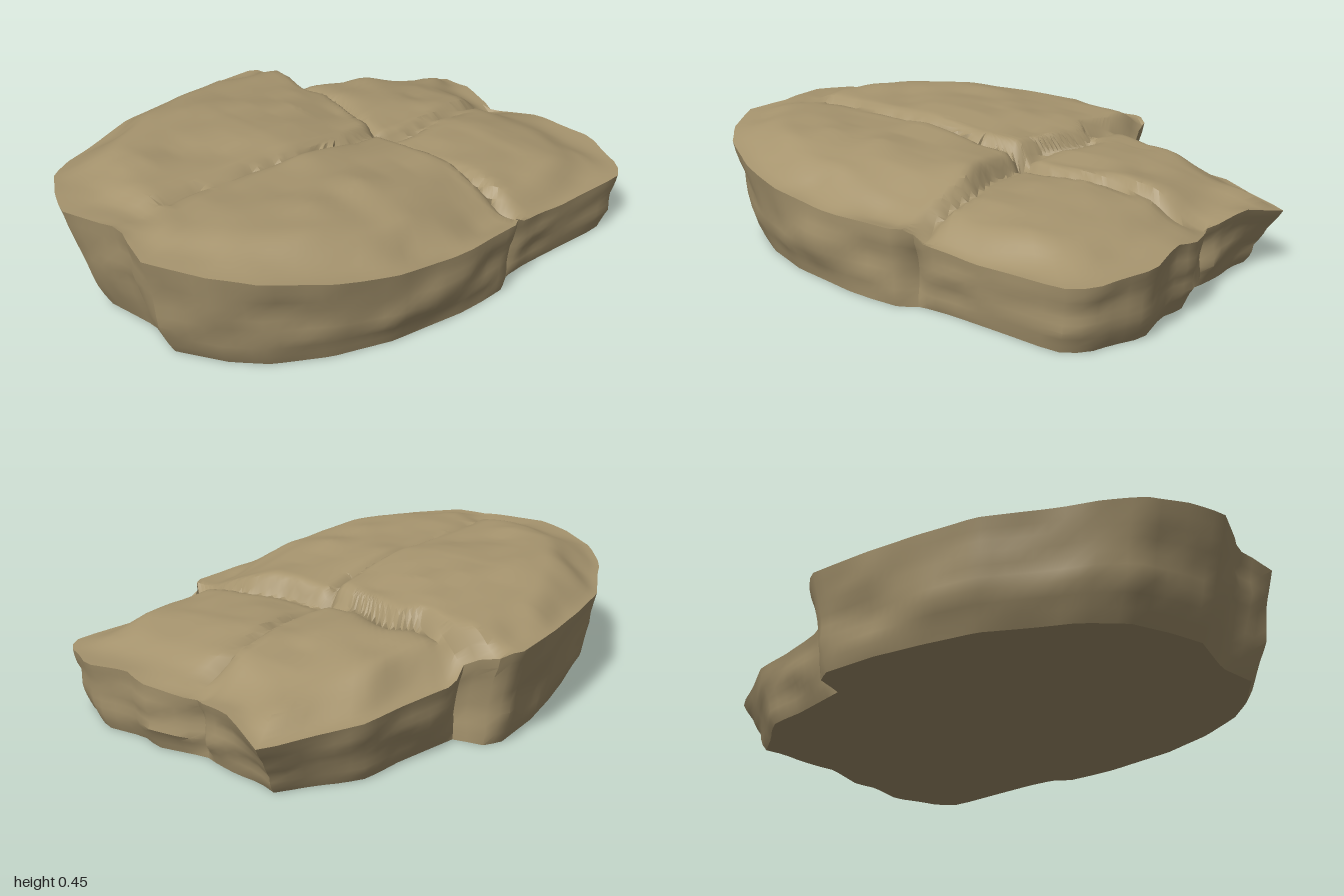
import * as THREE from 'three';
import { toCreasedNormals } from 'three/addons/utils/BufferGeometryUtils.js';

const { lerp, smoothstep } = THREE.MathUtils;

// Plan outline of the slab at its widest, as [x, z] in order around the rock
const OUTLINE = [
  [-1, 0.2], [-0.96, 0.03], [-1, -0.2], [-0.95, -0.33], [-0.87, -0.48], [-0.73, -0.58],
  [-0.6, -0.63], [-0.41, -0.71], [-0.2, -0.735], [0, -0.745], [0.23, -0.74], [0.3, -0.69],
  [0.3, -0.585], [0.56, -0.51], [0.71, -0.485], [0.85, -0.39], [1, -0.31], [0.95, -0.2],
  [0.9, -0.05], [0.87, 0.05], [0.91, 0.24], [0.88, 0.33], [0.9, 0.5], [0.84, 0.6],
  [0.8, 0.69], [0.72, 0.735], [0.5, 0.71], [0.3, 0.69], [0.18, 0.69], [0.12, 0.73],
  [-0.1, 0.725], [-0.4, 0.68], [-0.62, 0.6], [-0.8, 0.49], [-0.9, 0.38],
];
// Cracks: x as a function of z, and z as a function of x
const CROSS_CRACK = [[-0.75, 0.31], [-0.6, 0.3], [-0.45, 0.25], [-0.35, 0.22], [-0.28, 0.26],
  [-0.1, 0.2], [0.05, 0.17], [0.25, 0.17], [0.4, 0.2], [0.55, 0.19], [0.75, 0.17]];
const LONG_CRACK = [[-1, 0.03], [-0.7, -0.01], [-0.4, 0.02], [0, 0.06], [0.18, 0.05],
  [0.3, 0.08], [0.6, 0.07], [0.95, 0.05]];
// Height of the rim by angle in degrees (0 = +x, 90 = +z)
const RIM = [[-180, 0.41], [-160, 0.39], [-140, 0.34], [-110, 0.34], [-70, 0.34], [-63, 0.3],
  [-58, 0.23], [-35, 0.22], [-17, 0.2], [-8, 0.24], [4, 0.21], [20, 0.25], [40, 0.22],
  [60, 0.21], [74, 0.23], [78, 0.27], [105, 0.27], [130, 0.31], [155, 0.37], [180, 0.41]];

// Linear interpolation through sorted [key, value] pairs
function track(pairs, k) {
  if (k <= pairs[0][0]) return pairs[0][1];
  for (let i = 1; i < pairs.length; i++) {
    const [a, va] = pairs[i - 1], [b, vb] = pairs[i];
    if (k <= b) return lerp(va, vb, (k - a) / (b - a));
  }
  return pairs[pairs.length - 1][1];
}

// Seeded value noise in -1..1
function hash(x, y, z) {
  let h = (x * 374761393 + y * 668265263 + z * 1274126177) | 0;
  h = Math.imul(h ^ (h >>> 13), 1274126177);
  return ((h ^ (h >>> 16)) >>> 0) / 2147483648 - 1;
}
function noise(x, y, z) {
  const X = Math.floor(x), Y = Math.floor(y), Z = Math.floor(z);
  const u = x - X, v = y - Y, w = z - Z;
  const row = (j, k) => lerp(hash(X, Y + j, Z + k), hash(X + 1, Y + j, Z + k), u);
  return lerp(lerp(row(0, 0), row(1, 0), v), lerp(row(0, 1), row(1, 1), v), w);
}

// Distance from the centre to the outline along a direction
function outlineRadius(c, s) {
  let best = 0;
  OUTLINE.forEach(([ax, az], i) => {
    const [bx, bz] = OUTLINE[(i + 1) % OUTLINE.length];
    const ca = c * az - s * ax, cb = c * bz - s * bx;
    if (ca * cb > 0 || ca === cb) return;
    const t = ca / (ca - cb);
    best = Math.max(best, c * lerp(ax, bx, t) + s * lerp(az, bz, t));
  });
  return best;
}

const gauss = (d, w) => Math.exp(-(d * d) / (w * w));
const crossDist = (x, z) => x - track(CROSS_CRACK, z);
const longDist = (x, z) => z - track(LONG_CRACK, x);

// Height of the upper surface: high left blocks, low right blocks
function plateau(x, z) {
  const left = 0.428 - 0.035 * smoothstep(x, -0.3, 0.25)
    - 0.1 * smoothstep(z, 0.3, 0.72) * smoothstep(x, -0.8, 0.1) - 0.02 * smoothstep(-z, 0.4, 0.75);
  const right = 0.345 - 0.07 * smoothstep(x, 0.2, 0.9) - 0.03 * smoothstep(Math.abs(z), 0.3, 0.7);
  const step = longDist(x, z) > 0 ? -0.012 : 0.004;
  return lerp(left, right, smoothstep(crossDist(x, z), -0.03, 0.04)) + step
    + 0.016 * noise(x * 4 + 9, 3, z * 4) + 0.01 * noise(x * 9, 7, z * 9);
}

function cracks(x, z) {
  const fade = x < 0 ? 0.55 : 1;
  return 0.045 * gauss(crossDist(x, z), 0.025) + 0.035 * fade * gauss(longDist(x, z), 0.022);
}

function rockGeometry() {
  const N = 128, WALL = 9, TOP = 42;
  const pos = [], index = [];
  const rows = 2 + WALL + TOP;
  for (let j = 0; j < rows; j++) {
    for (let i = 0; i < N; i++) {
      const a = (i / N) * Math.PI * 2 - Math.PI;
      const c = Math.cos(a), s = Math.sin(a);
      const R = outlineRadius(c, s), rim = track(RIM, a * 180 / Math.PI);
      let x = 0, y = 0, z = 0;
      if (j > 0 && j <= WALL + 1) {
        // Undercut, weathered side wall
        const t = (j - 1) / WALL;
        const foot = 0.95 - 0.06 * Math.max(0, -c) - 0.05 * Math.max(0, -s) - 0.05 * gauss(a + 0.3, 0.15);
        const lay = noise(c * R * 4, t * 3, s * R * 4) + 0.5 * noise(c * R * 9, t * 6, s * R * 9);
        const ex = c * R, ez = s * R;
        const notch = 0.035 * (gauss(crossDist(ex, ez), 0.025) + gauss(longDist(ex, ez), 0.025));
        const r = R * lerp(foot, 1, Math.pow(t, 0.75)) + (0.022 * lay - notch) * Math.sin(Math.PI * Math.min(t, 0.9));
        x = c * r; z = s * r; y = t * rim;
      } else if (j > WALL + 1) {
        // Upper surface, rounding down to the rim
        const f = 1 - (j - WALL - 1) / TOP;
        x = c * R * f; z = s * R * f;
        const edge = Math.pow(smoothstep(f, 0.76, 1), 1.2);
        y = lerp(plateau(x, z), rim, edge) - cracks(x, z) * (1 - 0.5 * edge)
          + 0.02 * edge * (1 - edge) * 4 * noise(x * 7, 1, z * 7);
      }
      pos.push(x, y, z);
    }
  }
  for (let j = 0; j < rows - 1; j++) {
    for (let i = 0; i < N; i++) {
      const k = (i + 1) % N;
      const a = j * N + i, b = j * N + k, c = a + N, d = b + N;
      if (j < rows - 2) index.push(b, c, d);
      if (j > 0) index.push(a, c, b);
    }
  }
  const g = new THREE.BufferGeometry();
  g.setAttribute('position', new THREE.Float32BufferAttribute(pos, 3));
  g.setIndex(index);
  return toCreasedNormals(g, 0.7);
}

export function createModel() {
  const group = new THREE.Group();
  group.name = 'rockSlab';
  const stone = new THREE.MeshStandardMaterial({ color: 0xa6946e });
  stone.name = 'sandstone';
  const rock = new THREE.Mesh(rockGeometry(), stone);
  rock.name = 'crackedRock';
  group.add(rock);
  return group;
}
